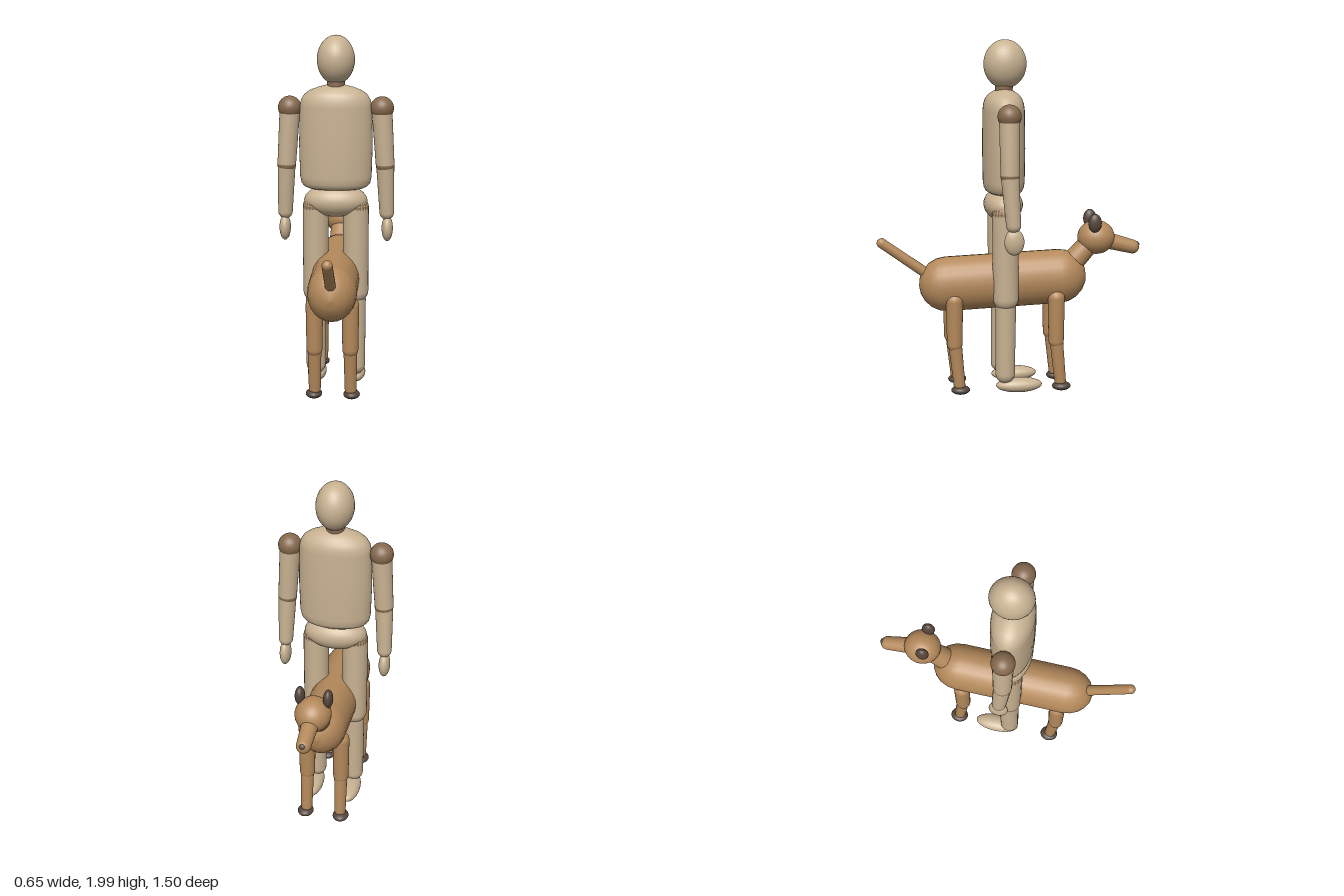
import * as THREE from 'three';

const paint = (color) => new THREE.MeshStandardMaterial({ color });

export function createModel() {
  const wood = paint(0xc8b292);
  const joint = paint(0x86694e);
  const fur = paint(0xb4895b);
  const dark = paint(0x54453b);
  const model = new THREE.Group();

  const add = (parent, name, geometry, material) => {
    const mesh = new THREE.Mesh(geometry, material);
    mesh.name = name;
    parent.add(mesh);
    return mesh;
  };

  // Ellipsoid from centre and three radii
  const ball = (parent, name, pos, radii, material) => {
    const mesh = add(parent, name, new THREE.SphereGeometry(1, 28, 20), material);
    mesh.position.set(...pos);
    mesh.scale.set(...radii);
    return mesh;
  };

  // Tapered, round-ended limb between two sphere centres
  const limb = (parent, name, from, to, r0, r1, material, capSteps = 7) => {
    const a = new THREE.Vector3(...from);
    const dir = new THREE.Vector3(...to).sub(a);
    const length = dir.length();
    const profile = [];
    for (let i = 0; i <= capSteps; i++) {
      const t = (i / capSteps) * Math.PI / 2;
      profile.push(new THREE.Vector2(r0 * Math.sin(t), -r0 * Math.cos(t)));
    }
    for (let i = 0; i <= capSteps; i++) {
      const t = (i / capSteps) * Math.PI / 2;
      profile.push(new THREE.Vector2(r1 * Math.cos(t), length + r1 * Math.sin(t)));
    }
    const mesh = add(parent, name, new THREE.LatheGeometry(profile, 24), material);
    mesh.position.copy(a);
    mesh.quaternion.setFromUnitVectors(new THREE.Vector3(0, 1, 0), dir.normalize());
    return mesh;
  };

  // ---- Standing figure, facing -z ----
  const figure = new THREE.Group();
  figure.name = 'figure';
  model.add(figure);

  ball(figure, 'head', [0, 1.865, 0.025], [0.105, 0.135, 0.12], wood);
  limb(figure, 'neck', [0, 1.66, 0.035], [0, 1.76, 0.03], 0.05, 0.05, joint);

  // Torso: turned profile flattened front to back
  const torsoProfile = [
    [0, 1.15], [0.15, 1.15], [0.175, 1.16], [0.192, 1.18], [0.2, 1.215], [0.205, 1.4],
    [0.2, 1.61], [0.193, 1.645], [0.175, 1.675], [0.145, 1.697], [0.1, 1.715], [0.05, 1.728], [0, 1.73],
  ].map(([r, y]) => new THREE.Vector2(r, y));
  const torso = add(figure, 'torso', new THREE.LatheGeometry(torsoProfile, 40), wood);
  torso.scale.z = 0.58;
  torso.position.z = 0.033;

  ball(figure, 'hips', [0, 1.08, 0.036], [0.178, 0.092, 0.11], wood);

  for (const s of [-1, 1]) {
    const side = s > 0 ? 'left' : 'right';
    const arm = new THREE.Group();
    arm.name = side + 'Arm';
    figure.add(arm);
    ball(arm, 'shoulder', [s * 0.256, 1.6, 0.034], [0.065, 0.065, 0.065], joint);
    limb(arm, 'upperArm', [s * 0.256, 1.58, 0.034], [s * 0.275, 1.285, 0.034], 0.057, 0.052, wood);
    ball(arm, 'elbow', [s * 0.275, 1.28, 0.034], [0.052, 0.052, 0.052], joint);
    limb(arm, 'forearm', [s * 0.276, 1.275, 0.034], [s * 0.286, 1.01, 0.016], 0.05, 0.041, wood);
    ball(arm, 'hand', [s * 0.289, 0.918, 0.012], [0.032, 0.074, 0.055], wood);

    const leg = new THREE.Group();
    leg.name = side + 'Leg';
    figure.add(leg);
    ball(leg, 'hipJoint', [s * 0.113, 1.04, 0.04], [0.073, 0.073, 0.073], joint);
    limb(leg, 'thigh', [s * 0.113, 1.04, 0.04], [s * 0.113, 0.56, 0.036], 0.073, 0.072, wood);
    limb(leg, 'shin', [s * 0.113, 0.51, 0.036], [s * 0.113, 0.12, 0.04], 0.058, 0.055, wood);
    ball(leg, 'foot', [s * 0.113, 0.05, -0.04], [0.054, 0.042, 0.132], wood);
  }

  // ---- Dog, facing -z ----
  const dog = new THREE.Group();
  dog.name = 'dog';
  model.add(dog);

  const body = limb(dog, 'body', [0, 0.628, 0.36], [0, 0.653, -0.285], 0.156, 0.156, fur, 5);
  body.scale.x = 0.87;
  limb(dog, 'neck', [0, 0.73, -0.36], [0, 0.87, -0.49], 0.066, 0.056, fur);
  ball(dog, 'head', [0, 0.875, -0.5], [0.1, 0.097, 0.107], fur);
  limb(dog, 'snout', [0, 0.855, -0.56], [0, 0.813, -0.713], 0.048, 0.04, fur);
  ball(dog, 'nose', [0, 0.825, -0.733], [0.022, 0.02, 0.022], dark);
  limb(dog, 'tail', [0, 0.675, 0.45], [0, 0.873, 0.722], 0.03, 0.028, fur);

  for (const s of [-1, 1]) {
    ball(dog, s > 0 ? 'leftEar' : 'rightEar', [s * 0.078, 0.97, -0.478], [0.027, 0.054, 0.038], dark);
    for (const [end, z] of [['Front', -0.255], ['Back', 0.325]]) {
      const leg = new THREE.Group();
      leg.name = (s > 0 ? 'left' : 'right') + end + 'Leg';
      dog.add(leg);
      limb(leg, 'upperLeg', [s * 0.099, 0.55, z], [s * 0.099, 0.3, z], 0.048, 0.044, fur);
      limb(leg, 'lowerLeg', [s * 0.099, 0.3, z - 0.002], [s * 0.1, 0.06, z - 0.025], 0.038, 0.033, fur);
      ball(leg, 'paw', [s * 0.105, 0.031, z - 0.031], [0.046, 0.025, 0.053], dark);
    }
  }

  return model;
}
